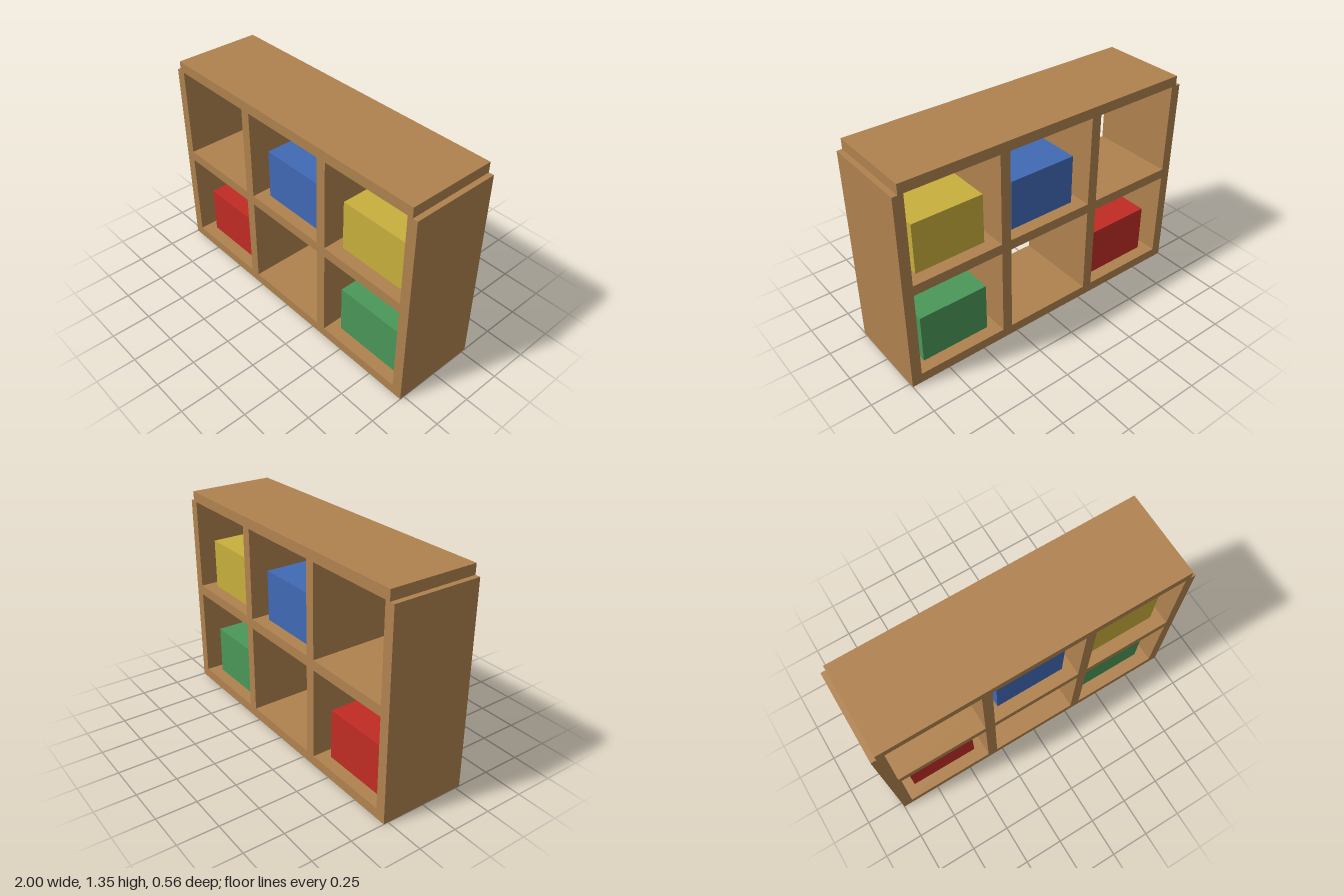
import * as THREE from 'three';

const material = (name, color) => {
  const m = new THREE.MeshStandardMaterial({ color });
  m.name = name;
  return m;
};

export function createModel() {
  const group = new THREE.Group();
  group.name = 'cubbyShelf';

  const wood = material('wood', 0xb0824f);
  const red = material('red', 0xc02c24);
  const blue = material('blue', 0x4069b5);
  const yellow = material('yellow', 0xc8af3c);
  const green = material('green', 0x4a9758);

  const unit = 2 / 31; // board thickness
  const depth = 0.56;
  const pitch = 10 * unit; // one compartment plus one board

  // Box standing on y, centred on x and z
  const addBox = (name, mat, w, h, d, x, y) => {
    const mesh = new THREE.Mesh(new THREE.BoxGeometry(w, h, d), mat);
    mesh.name = name;
    mesh.position.set(x, y + h / 2, 0);
    group.add(mesh);
  };

  // Uprights: two sides and two dividers resting on the bottom board
  for (const [side, s] of [['left', 1], ['right', -1]]) {
    addBox(`${side}Side`, wood, unit, 20 * unit, depth, s * 15 * unit, 0);
    for (const [row, y] of [['lower', unit], ['upper', unit + pitch]])
      addBox(`${side}${row}Divider`, wood, unit, 9 * unit, depth, s * 5 * unit, y);
  }

  // Horizontal boards; the top stops halfway over the sides
  addBox('bottomBoard', wood, 29 * unit, unit, depth, 0, 0);
  addBox('middleShelf', wood, 29 * unit, unit, depth, 0, pitch);
  addBox('topBoard', wood, 30 * unit, unit, depth, 0, 2 * pitch);

  // Storage bins: column, row, colour
  for (const [name, mat, col, row] of [
    ['redBin', red, -1, 0],
    ['greenBin', green, 1, 0],
    ['blueBin', blue, 0, 1],
    ['yellowBin', yellow, 1, 1],
  ]) addBox(name, mat, 7 * unit, 5 * unit, 0.4, col * pitch, unit + row * pitch);

  return group;
}
